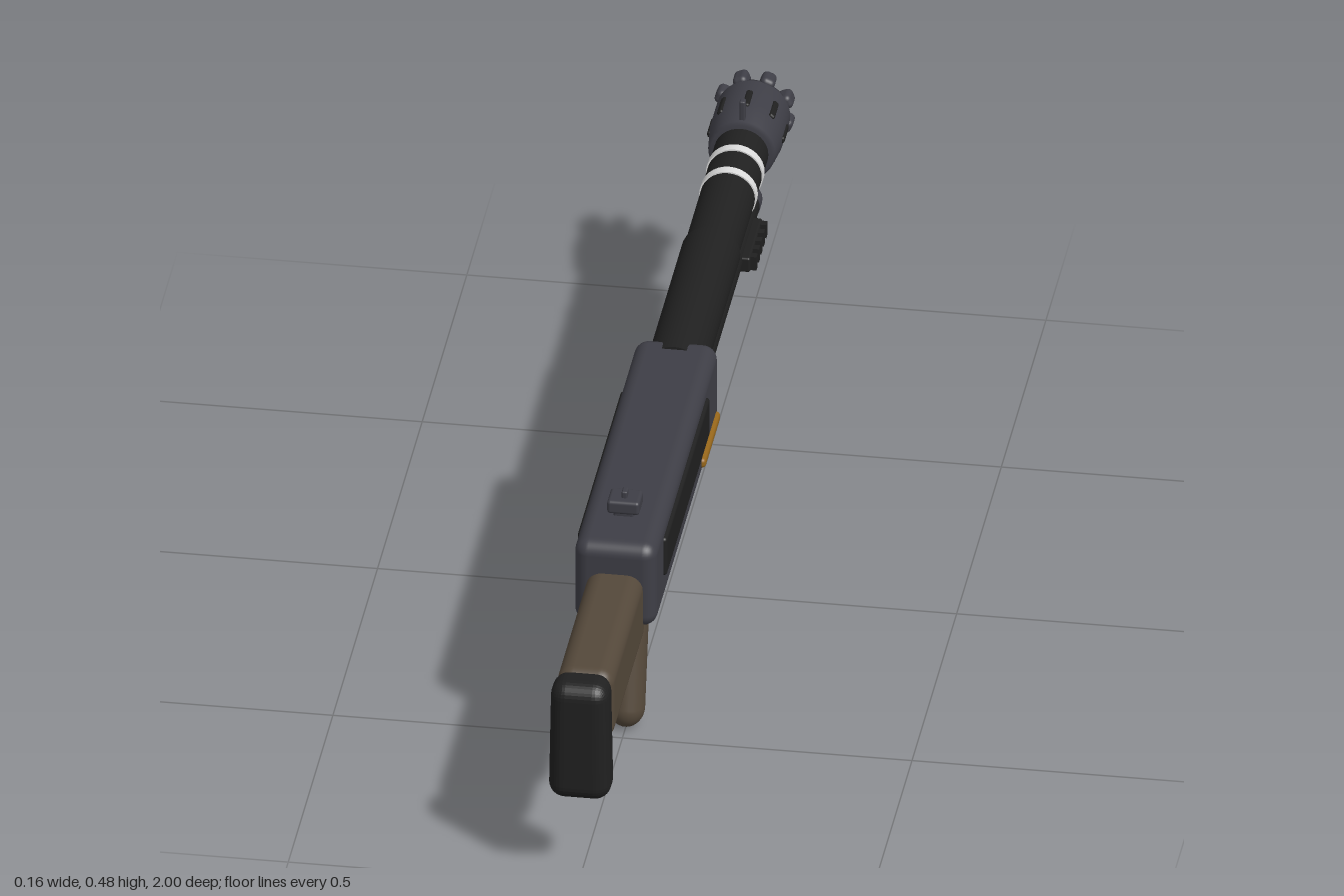
import * as THREE from 'three';
import { RoundedBoxGeometry } from 'three/addons/geometries/RoundedBoxGeometry.js';

const mat = (name, color) => {
  const m = new THREE.MeshStandardMaterial({ color });
  m.name = name;
  return m;
};

export function createModel() {
  const group = new THREE.Group();
  const grey = mat('gunmetal', 0x3e3e46);
  const black = mat('black', 0x202020);
  const brown = mat('brown', 0x54483a);
  const gold = mat('brass', 0x96661a);
  const white = mat('white', 0xdcdcdc);

  const add = (name, geo, material, x, y, z) => {
    const mesh = new THREE.Mesh(geo, material);
    mesh.name = name;
    mesh.position.set(x, y, z);
    group.add(mesh);
    return mesh;
  };
  // Rounded block given by its extents
  const block = (name, material, [x0, x1], [y0, y1], [z0, z1], r) =>
    add(name, new RoundedBoxGeometry(x1 - x0, y1 - y0, z1 - z0, 4, r), material,
      (x0 + x1) / 2, (y0 + y1) / 2, (z0 + z1) / 2);
  // Cylinder along z from the back (z0) to the muzzle side (z1)
  const rod = (name, material, r, y, z0, z1) =>
    add(name, new THREE.CylinderGeometry(r, r, z0 - z1, 32).rotateX(-Math.PI / 2), material, 0, y, (z0 + z1) / 2);

  // Stock and butt pad, the pad a little wider at the bottom
  block('stock', brown, [-0.049, 0.049], [0.24, 0.378], [0.55, 0.93], 0.028);
  block('stockUnderside', brown, [-0.04, 0.04], [0.204, 0.29], [0.5, 0.785], 0.03);
  const pad = block('buttPad', black, [-0.053, 0.053], [0.163, 0.389], [0.925, 1], 0.028);
  const p = pad.geometry.attributes.position;
  for (let i = 0; i < p.count; i++) p.setX(i, p.getX(i) * (0.98 - p.getY(i) * 0.35));
  pad.geometry.computeVertexNormals();

  // Receiver with side panels and brass strips
  block('receiver', grey, [-0.071, 0.071], [0.272, 0.434], [-0.12, 0.59], 0.025);
  for (const s of [-1, 1]) {
    const side = s > 0 ? 'left' : 'right';
    add(side + 'Panel', new RoundedBoxGeometry(0.016, 0.074, 0.485, 3, 0.006), black, s * 0.069, 0.367, 0.26);
    add(side + 'BrassStrip', new RoundedBoxGeometry(0.018, 0.018, 0.17, 3, 0.007), gold, s * 0.069, 0.303, -0.01);
  }

  // Grip and trigger plate
  const top = new THREE.Vector3(0, 0.28, 0.388), tip = new THREE.Vector3(0, 0.038, 0.452);
  const axis = top.clone().sub(tip);
  const grip = add('grip', new THREE.CapsuleGeometry(0.036, axis.length(), 10, 24), brown, 0, 0, 0);
  grip.position.copy(top).add(tip).multiplyScalar(0.5);
  grip.quaternion.setFromUnitVectors(new THREE.Vector3(0, 1, 0), axis.normalize());
  grip.scale.x = 0.88;
  block('triggerPlate', black, [-0.028, 0.028], [0.214, 0.23], [0.22, 0.37], 0.007);

  // Barrel, its bands and the magazine tube
  rod('barrelSleeve', black, 0.051, 0.388, -0.08, -0.49);
  rod('barrel', black, 0.047, 0.388, -0.08, -0.85);
  for (const z of [-0.688, -0.764]) rod('whiteBand', white, 0.0495, 0.388, z + 0.009, z - 0.009);
  rod('magazineTube', black, 0.033, 0.289, 0.01, -0.83);
  add('magazineCap', new THREE.LatheGeometry(
    [[0, 0], [0.034, 0], [0.034, 0.026], [0.026, 0.036], [0, 0.036]].map(([x, y]) => new THREE.Vector2(x, y)), 24)
    .rotateX(-Math.PI / 2).toNonIndexed(), grey, 0, 0.289, -0.822).geometry.computeVertexNormals();
  block('barrelClamp', black, [-0.02, 0.02], [0.305, 0.35], [-0.725, -0.68], 0.008);

  // Toothed side rail
  block('sideRail', black, [0.025, 0.046], [0.27, 0.298], [-0.77, -0.63], 0.004);
  for (let i = 0; i < 5; i++)
    add('railTooth', new THREE.BoxGeometry(0.012, 0.026, 0.014), black, 0.05, 0.284, -0.645 - i * 0.0275);

  // Muzzle: flared hollow body, crown of knobs, slots and studs
  const muzzle = new THREE.Group();
  muzzle.name = 'muzzle';
  muzzle.position.set(0, 0.388, 0);
  group.add(muzzle);
  const part = (name, geo, material, parent = muzzle) => {
    const mesh = new THREE.Mesh(geo, material);
    mesh.name = name;
    parent.add(mesh);
    return mesh;
  };
  const profile = [[0.03, 0.83], [0.053, 0.83], [0.058, 0.836], [0.064, 0.89], [0.064, 0.965], [0.06, 0.975], [0.036, 0.975], [0.034, 0.9], [0, 0.9]];
  const body = new THREE.LatheGeometry(profile.map(([x, y]) => new THREE.Vector2(x, y)), 32)
    .rotateX(-Math.PI / 2);
  part('muzzleBody', body, grey);
  for (let i = 0; i < 8; i++) {
    const spoke = new THREE.Group();
    spoke.name = 'muzzleSpoke';
    spoke.rotation.z = (i + 0.5) * Math.PI / 4;
    muzzle.add(spoke);
    part('crownKnob', new RoundedBoxGeometry(0.026, 0.026, 0.036, 3, 0.009), grey, spoke).position.set(0.058, 0, -0.982);
    const slot = new THREE.Group();
    slot.name = 'muzzleSlot';
    slot.rotation.z = Math.PI / 8;
    spoke.add(slot);
    part('slot', new RoundedBoxGeometry(0.01, 0.012, 0.05, 2, 0.004), black, slot).position.set(0.062, 0, -0.905);
  }

  // Sights
  block('frontSight', grey, [-0.005, 0.005], [0.43, 0.482], [-0.855, -0.84], 0.003);
  block('rearSightBase', grey, [-0.028, 0.028], [0.44, 0.465], [0.445, 0.495], 0.006);
  block('rearSightFoot', grey, [-0.018, 0.018], [0.428, 0.445], [0.452, 0.488], 0.004);
  block('rearSightPost', grey, [-0.005, 0.005], [0.455, 0.477], [0.46, 0.48], 0.003);

  return group;
}
